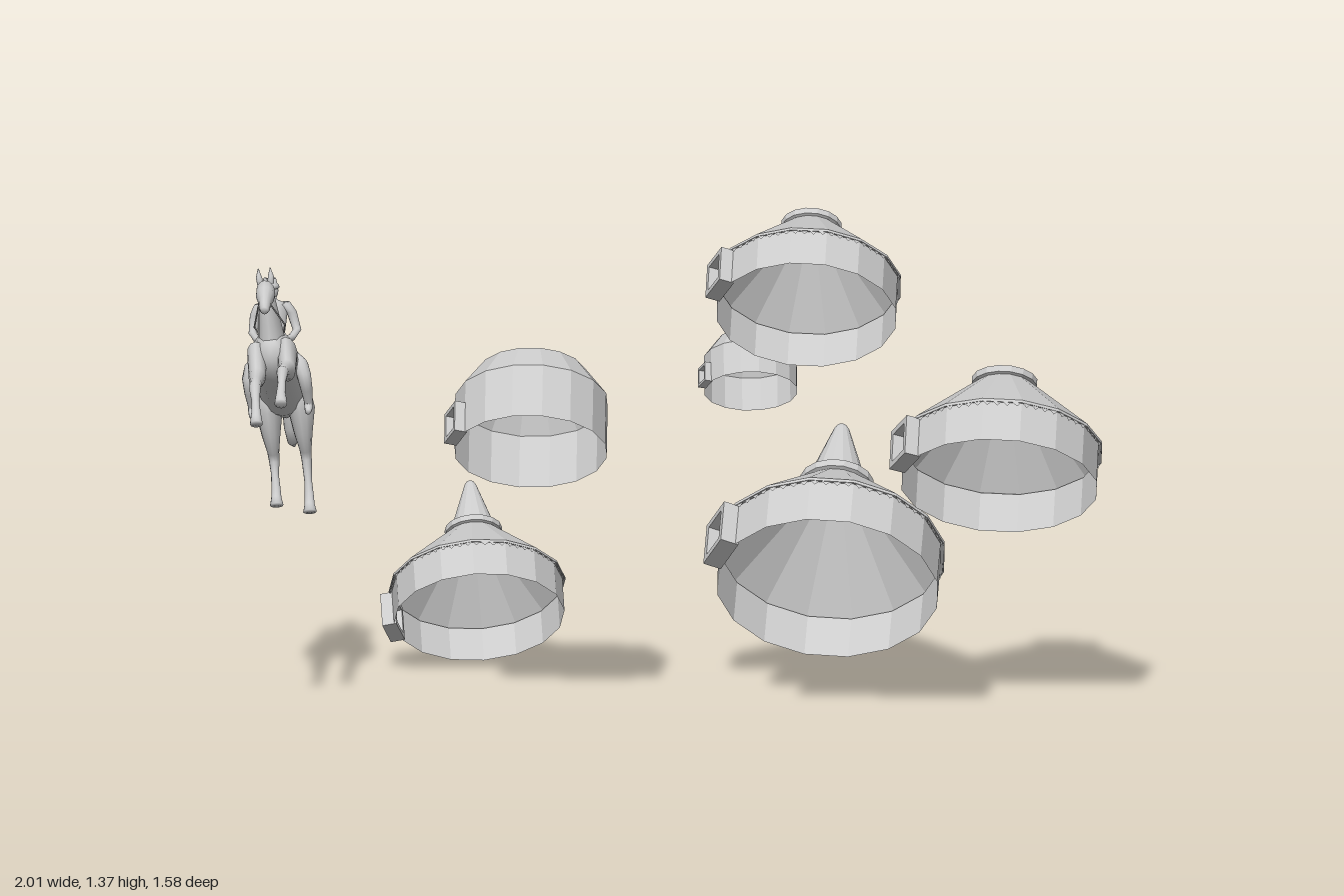
import * as THREE from 'three';

const SIDES = 16, STEP = (2 * Math.PI) / SIDES, DOOR_H = 0.43;
const canvas = new THREE.MeshStandardMaterial({ color: 0xcccccc, flatShading: true, side: THREE.DoubleSide });
const skin = new THREE.MeshStandardMaterial({ color: 0xcccccc });

function add(parent, name, geometry, material) {
  const mesh = new THREE.Mesh(geometry, material);
  mesh.name = name;
  parent.add(mesh);
  return mesh;
}

// ---- Tents, built with wall radius 1 and the door facing local +z ----
const HIP = [[1, DOOR_H], [1, 0.75], [0.7, 1.16], [0, 1.16]];
const CROWN = [[1, DOOR_H], [1.035, DOOR_H - 0.01], [1.035, DOOR_H + 0.02], [0.3, 1.12],
  [0.335, 1.13], [0.335, 1.2], [0, 1.2]];
const SPIRE = [...CROWN.slice(0, 6), [0.26, 1.21], [0.07, 1.79], [0.045, 1.83], [0, 1.845]];

// Zigzag trim hanging from the eave, four teeth on each side
function fringeGeometry() {
  const pos = [], r = 1.025, teeth = 4;
  for (let i = 0; i < SIDES; i++) {
    const corner = (k) => new THREE.Vector3(Math.sin((k + 0.5) * STEP) * r, DOOR_H, Math.cos((k + 0.5) * STEP) * r);
    const a = corner(i), b = corner(i + 1);
    for (let t = 0; t < teeth; t++) {
      const p = a.clone().lerp(b, t / teeth), q = a.clone().lerp(b, (t + 1) / teeth);
      const tip = p.clone().lerp(q, 0.5);
      tip.y -= 0.05;
      pos.push(...p.toArray(), ...tip.toArray(), ...q.toArray());
    }
  }
  const g = new THREE.BufferGeometry();
  g.setAttribute('position', new THREE.Float32BufferAttribute(pos, 3));
  g.computeVertexNormals();
  return g;
}

function doorGeometry() {
  const rect = (path, w, y0, y1) => {
    path.moveTo(-w, y0); path.lineTo(w, y0); path.lineTo(w, y1); path.lineTo(-w, y1); path.closePath();
    return path;
  };
  const frame = rect(new THREE.Shape(), 0.2, 0, DOOR_H);
  frame.holes.push(rect(new THREE.Path(), 0.14, 0.06, DOOR_H - 0.06));
  return new THREE.ExtrudeGeometry(frame, { depth: 0.17, bevelEnabled: false }).translate(0, 0, 0.95);
}

// centre = middle of the open rim, axis = direction of the roof, turn = door angle
function tent(name, profile, radius, centre, axis, turn) {
  const g = new THREE.Group();
  g.name = name;
  add(g, 'wall', new THREE.CylinderGeometry(1, 1, DOOR_H, SIDES - 1, 1, true, STEP / 2, STEP * (SIDES - 1))
    .translate(0, DOOR_H / 2, 0), canvas);
  const points = profile.map(([x, y]) => new THREE.Vector2(x, y));
  add(g, 'roof', new THREE.LatheGeometry(points, SIDES, STEP / 2), canvas);
  if (profile !== HIP) add(g, 'eaveFringe', fringeGeometry(), canvas);
  add(g, 'doorFrame', doorGeometry(), canvas);
  const y = new THREE.Vector3(...axis).normalize();
  const z = new THREE.Vector3(-Math.cos(turn), 0.75 * Math.sin(turn), 0.66 * Math.sin(turn));
  z.addScaledVector(y, -z.dot(y)).normalize();
  g.quaternion.setFromRotationMatrix(new THREE.Matrix4().makeBasis(y.clone().cross(z), y, z));
  g.scale.setScalar(radius);
  g.position.set(...centre);
  return g;
}

// ---- Horse and rider: sections are [x, y, z, half width, half depth] ----
const PIVOT = [0, 0.8, -0.12];

function loft(sections, sides = 12) {
  const first = sections[0], last = sections[sections.length - 1];
  const rings = [[...first.slice(0, 3), 0, 0], ...sections, [...last.slice(0, 3), 0, 0]];
  const centres = rings.map((s) => new THREE.Vector3(s[0], s[1], s[2]));
  const pos = [], index = [];
  rings.forEach((s, i) => {
    const t = centres[Math.min(i + 1, rings.length - 1)].clone().sub(centres[Math.max(i - 1, 0)]).normalize();
    const n = t.cross(new THREE.Vector3(1, 0, 0)).normalize();
    for (let j = 0; j < sides; j++) {
      const a = (j / sides) * 2 * Math.PI, d = Math.sin(a) * (s[4] ?? s[3]);
      pos.push(s[0] + Math.cos(a) * s[3], s[1] + n.y * d, s[2] + n.z * d);
      if (i === rings.length - 1) continue;
      const p = i * sides + j, q = i * sides + ((j + 1) % sides);
      index.push(p, q, p + sides, q, q + sides, p + sides);
    }
  });
  const g = new THREE.BufferGeometry();
  g.setAttribute('position', new THREE.Float32BufferAttribute(pos, 3));
  g.setIndex(index);
  g.computeVertexNormals();
  return g.translate(-PIVOT[0], -PIVOT[1], -PIVOT[2]);
}

function horseAndRider() {
  const g = new THREE.Group();
  g.name = 'horseAndRider';
  const part = (name, sections) => add(g, name, loft(sections), skin);
  const ball = (name, r, x, y, z, sy = 1) => {
    const m = add(g, name, new THREE.SphereGeometry(r, 12, 8), skin);
    m.position.set(x - PIVOT[0], y - PIVOT[1], z - PIVOT[2]);
    m.scale.y = sy;
  };

  // Rearing horse
  part('horseBody', [[0, 0.725, -0.335, 0.025], [0, 0.735, -0.31, 0.05, 0.055], [0, 0.76, -0.27, 0.058, 0.068],
    [0, 0.805, -0.215, 0.056, 0.065], [0, 0.85, -0.155, 0.056, 0.068], [0, 0.885, -0.105, 0.05, 0.066],
    [0, 0.9, -0.07, 0.038, 0.05], [0, 0.905, -0.05, 0.02, 0.025]]);
  part('horseNeck', [[0, 0.865, -0.11, 0.035, 0.06], [0, 0.92, -0.11, 0.032, 0.054], [0, 0.97, -0.1, 0.026, 0.042],
    [0, 1.015, -0.09, 0.021, 0.032], [0, 1.045, -0.085, 0.018, 0.024]]);
  part('horseHead', [[0, 1.047, -0.105, 0.014, 0.016], [0, 1.042, -0.085, 0.022, 0.028], [0, 1.035, -0.06, 0.022, 0.027],
    [0, 1.027, -0.03, 0.015, 0.019], [0, 1.02, -0.008, 0.013, 0.016], [0, 1.016, 0.004, 0.009, 0.01]]);
  part('mane', [[0, 0.93, -0.16, 0.006, 0.008], [0, 0.99, -0.14, 0.007, 0.013], [0, 1.04, -0.118, 0.007, 0.012],
    [0, 1.065, -0.1, 0.005, 0.008]]);
  part('tail', [[0, 0.765, -0.33, 0.012], [0, 0.755, -0.35, 0.013], [0, 0.7, -0.358, 0.014], [0, 0.645, -0.362, 0.015],
    [0, 0.608, -0.382, 0.012], [0, 0.588, -0.418, 0.003]]);
  // Forelegs: one stretched out, one folded lower
  part('leftForeleg', [[0.035, 0.89, -0.09, 0.024, 0.045], [0.036, 0.862, -0.025, 0.02, 0.028],
    [0.035, 0.875, 0.035, 0.014, 0.017], [0.034, 0.883, 0.075, 0.014, 0.015], [0.033, 0.866, 0.115, 0.009],
    [0.032, 0.85, 0.15, 0.011], [0.032, 0.842, 0.165, 0.013], [0.032, 0.832, 0.182, 0.015]]);
  part('rightForeleg', [[-0.035, 0.89, -0.09, 0.024, 0.045], [-0.036, 0.85, -0.03, 0.02, 0.028],
    [-0.035, 0.85, 0.03, 0.014, 0.017], [-0.034, 0.85, 0.075, 0.014, 0.015], [-0.033, 0.825, 0.11, 0.009],
    [-0.032, 0.805, 0.137, 0.011], [-0.032, 0.795, 0.148, 0.013], [-0.032, 0.783, 0.16, 0.015]]);
  for (const [side, s, drop] of [['left', 1, -0.012], ['right', -1, 0.01]]) {
    const x = 0.038 * s;
    part(side + 'Hindleg', [[x * 0.8, 0.765, -0.275, 0.032, 0.055], [x, 0.71, -0.275, 0.032, 0.052],
      [x, 0.655, -0.263, 0.022, 0.032], [x, 0.61, -0.275, 0.014, 0.019], [x, 0.585, -0.277, 0.012, 0.016],
      [x, 0.55 + drop, -0.26, 0.009, 0.01], [x, 0.515 + drop, -0.245, 0.011], [x, 0.5 + drop, -0.232, 0.012],
      [x, 0.485 + drop, -0.222, 0.016]]);
    part(side + 'Ear', [[0.012 * s, 1.055, -0.1, 0.008], [0.014 * s, 1.072, -0.103, 0.007], [0.014 * s, 1.092, -0.106, 0.001]]);
    // Rider's limbs
    part(side + 'RiderLeg', [[0.025 * s, 0.86, -0.2, 0.022], [0.055 * s, 0.845, -0.155, 0.02],
      [0.064 * s, 0.825, -0.135, 0.017], [0.066 * s, 0.785, -0.15, 0.014], [0.066 * s, 0.75, -0.163, 0.01],
      [0.066 * s, 0.738, -0.155, 0.01], [0.066 * s, 0.734, -0.13, 0.007]]);
    part(side + 'RiderArm', [[0.03 * s, 0.978, -0.222, 0.013], [0.043 * s, 0.955, -0.224, 0.012],
      [0.052 * s, 0.912, -0.218, 0.01], [0.04 * s, 0.902, -0.185, 0.009], [0.02 * s, 0.905, -0.155, 0.008]]);
    part(side + 'Rein', [[0.02 * s, 0.905, -0.155, 0.002], [0.036 * s, 0.955, -0.095, 0.002], [0.015 * s, 1.022, -0.02, 0.002]]);
  }
  part('saddle', [[0, 0.826, -0.255, 0.035, 0.02], [0, 0.848, -0.22, 0.045, 0.03], [0, 0.875, -0.18, 0.045, 0.03],
    [0, 0.915, -0.155, 0.025, 0.02]]);
  part('riderTorso', [[0, 0.845, -0.2, 0.03, 0.026], [0, 0.88, -0.205, 0.028, 0.023], [0, 0.91, -0.212, 0.024, 0.02],
    [0, 0.955, -0.22, 0.034, 0.024], [0, 0.978, -0.223, 0.03, 0.018], [0, 0.987, -0.225, 0.012], [0, 1, -0.226, 0.01]]);
  ball('riderHead', 0.017, 0, 1.008, -0.228, 1.2);
  part('riderHat', [[0, 1.014, -0.229, 0.02], [0, 1.021, -0.229, 0.02], [0, 1.024, -0.23, 0.016], [0, 1.037, -0.231, 0.014]]);

  g.position.set(-0.92, PIVOT[1], PIVOT[2]);
  g.rotation.set(0, -0.13, 0.1);
  return g;
}

export function createModel() {
  const model = new THREE.Group();
  model.name = 'camp';
  model.add(
    tent('crownTentUpper', CROWN, 0.213, [0.27, 1.142, 0.646], [0.025, 0.173, -0.193], 0.36),
    tent('crownTentSide', CROWN, 0.232, [0.76, 0.58, 0.053], [0.025, 0.21, -0.185], 0.36),
    tent('spireTentLarge', SPIRE, 0.262, [0.382, 0.248, -0.326], [0.06, 0.306, -0.381], 0.36),
    tent('spireTentSmall', SPIRE, 0.2, [-0.42, 0.142, -0.528], [-0.005, 0.265, -0.258], -0.3),
    tent('flatTentSmall', HIP, 0.11, [0.163, 0.874, 0.29], [0.004, 0.105, -0.082], 0.33),
    tent('flatTentLarge', HIP, 0.18, [-0.335, 0.67, 0.015], [0.012, 0.15, -0.133], 0.3),
    horseAndRider(),
  );
  return model;
}
